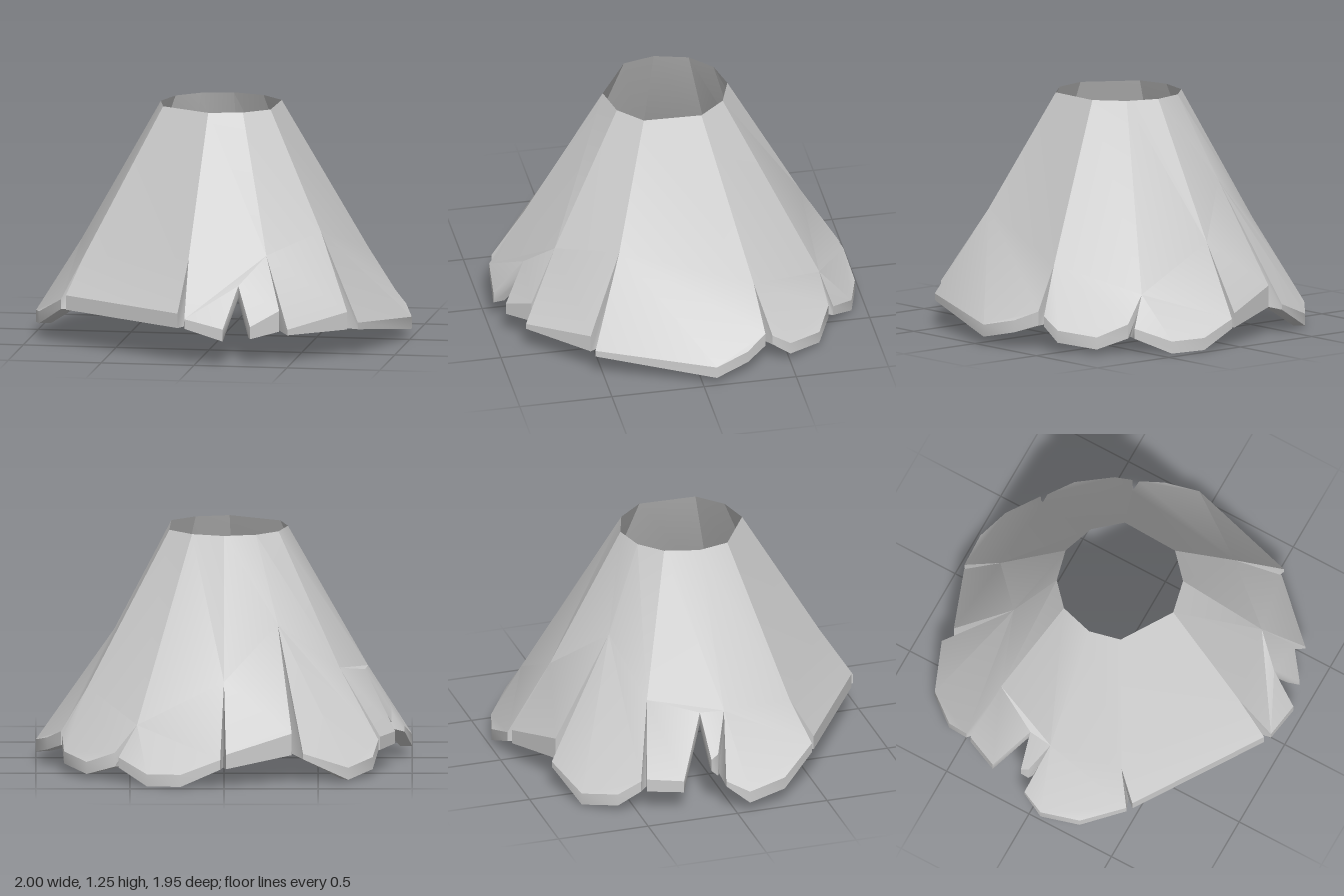
import * as THREE from 'three';
import { toCreasedNormals } from 'three/addons/utils/BufferGeometryUtils.js';

const TOP_Y = 1.25;
const LIP = 0.065;

// One entry per panel, counter-clockwise from the front, in plan [x, z]:
// neck corner, how far out its tear starts, and the ragged hem up to the next tear.
const PANELS = [
  { neck: [-0.3, 0.17], tear: 2.3, hem: [[-0.77, 0.5], [-0.1, 0.93]] },
  { neck: [-0.03, 0.34], tear: 2.24, hem: [[-0.06, 0.95], [0.15, 0.97], [0.21, 0.82], [0.29, 0.93], [0.43, 0.82]] },
  { neck: [0.15, 0.3], tear: 2.25, hem: [[0.48, 0.86], [0.755, 0.565]] },
  { neck: [0.28, 0.18], tear: 2.08, hem: [[0.81, 0.55], [1, -0.07], [0.94, -0.25], [0.865, -0.36]] },
  { neck: [0.29, -0.13], tear: 2.5, hem: [[0.86, -0.4], [0.85, -0.5], [0.73, -0.68], [0.58, -0.76]] },
  { neck: [0.17, -0.27], tear: 2.72, hem: [[0.56, -0.79], [0.41, -0.92], [0.23, -0.975], [0.02, -0.955]] },
  { neck: [0, -0.33], tear: 2.2, hem: [[-0.01, -0.94], [-0.36, -0.81]] },
  { neck: [-0.17, -0.29], tear: 1.68, hem: [[-0.42, -0.85], [-0.66, -0.76], [-0.79, -0.6], [-0.82, -0.48]] },
  { neck: [-0.29, -0.18], tear: 2.12,
    hem: [[-0.83, -0.45], [-0.91, -0.27], [-0.75, -0.13], [-0.89, -0.11], [-0.88, -0.07]] },
  { neck: [-0.34, 0], tear: 2.25, hem: [[-0.96, -0.05], [-1, 0.07], [-0.95, 0.28], [-0.8, 0.48]] },
];

// Height of the sloping wall at a plan position; it hangs a little lower at the back.
function onSlope([x, z]) {
  return new THREE.Vector3(x, 0.118 + 1.62 * (1 - Math.hypot(x, z)) + 0.045 * z, z);
}

const tearTip = ({ neck, tear }) => onSlope(neck.map((v) => v * tear));
const neckPoint = ({ neck }) => new THREE.Vector3(neck[0], TOP_Y, neck[1]);

// Moves a point to the inner face of the wall: inwards and down.
function inset(p, drop) {
  const k = 1 - 0.065 / Math.hypot(p.x, p.z);
  return new THREE.Vector3(p.x * k, p.y - drop, p.z * k);
}

// The inner face nearly closes a narrow tear: both sides meet halfway.
function insetAcrossTear(p, [x, z]) {
  const other = onSlope([x, z]);
  return inset(p.distanceTo(other) < 0.16 ? p.clone().lerp(other, 0.5) : p, LIP);
}

// Triangulates a flap as seen from outside: u along the panel, y up.
function flapTriangles(points) {
  const a = points[0], b = points[points.length - 1];
  const along = new THREE.Vector3(b.x - a.x, 0, b.z - a.z).normalize();
  const flat = points.map((p) => new THREE.Vector2(p.clone().sub(a).dot(along), p.y));
  return THREE.ShapeUtils.triangulateShape(flat, []).map(([i, j, k]) => {
    const turn = flat[j].clone().sub(flat[i]).cross(flat[k].clone().sub(flat[i]));
    return turn > 0 ? [i, j, k] : [i, k, j];
  });
}

function makeMesh(name, corners, crease, material) {
  const geometry = new THREE.BufferGeometry().setFromPoints(corners);
  const mesh = new THREE.Mesh(toCreasedNormals(geometry, crease), material);
  mesh.name = name;
  return mesh;
}

export function createModel() {
  const group = new THREE.Group();
  group.name = 'tornSkirt';
  const material = new THREE.MeshStandardMaterial({ color: 0xcccccc, side: THREE.DoubleSide });
  const outer = [], inner = [], rim = [];
  const quad = (list, a, b, c, d) => list.push(a, b, c, a, c, d);

  PANELS.forEach((panel, i) => {
    const next = PANELS[(i + 1) % PANELS.length];
    const previous = PANELS[(i + PANELS.length - 1) % PANELS.length];
    const neckA = neckPoint(panel), neckB = neckPoint(next);
    const edge = [tearTip(panel), ...panel.hem.map(onSlope), tearTip(next)];
    const last = edge.length - 1;
    const edgeIn = edge.map((p, k) => {
      if (k === 0 || k === last) return inset(p, 0.04);
      if (k === 1) return insetAcrossTear(p, previous.hem.at(-1));
      if (k === last - 1) return insetAcrossTear(p, next.hem[0]);
      return inset(p, LIP);
    });
    const lip = edge.map((p, k) => new THREE.Vector3(p.x, Math.min(p.y - 0.03, edgeIn[k].y), p.z));

    // Upper panel, tapering to a thin edge at the neck
    quad(outer, neckA, edge[0], edge[last], neckB);
    quad(inner, neckB, edgeIn[last], edgeIn[0], neckA);

    // Flared flap below the tear tips
    for (const [a, b, c] of flapTriangles(edge)) outer.push(edge[a], edge[b], edge[c]);
    for (const [a, b, c] of flapTriangles(edgeIn)) inner.push(edgeIn[a], edgeIn[c], edgeIn[b]);

    // Upright lip and underside along the hem and tears
    for (let k = 0; k < last; k++) {
      quad(rim, edge[k], lip[k], lip[k + 1], edge[k + 1]);
      quad(rim, lip[k], edgeIn[k], edgeIn[k + 1], lip[k + 1]);
    }
  });

  group.add(
    makeMesh('outerWall', outer, 0.45, material),
    makeMesh('innerWall', inner, 0.45, material),
    makeMesh('tornRim', rim, 0.8, material),
  );
  return group;
}
